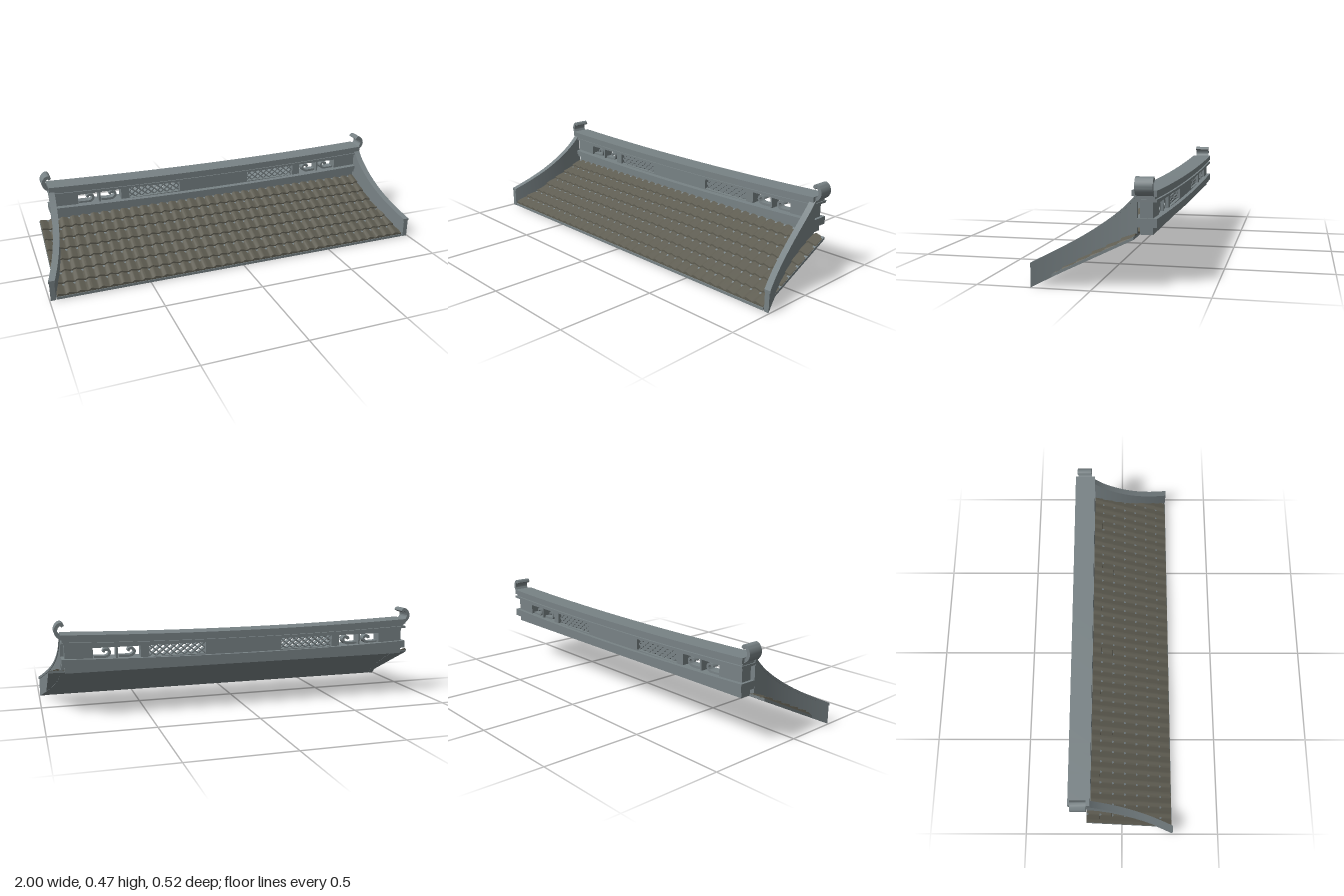
import * as THREE from 'three';
import { toCreasedNormals } from 'three/addons/utils/BufferGeometryUtils.js';

const V = (x, y, z) => new THREE.Vector3(x, y, z);
const Z0 = 0.26, Z1 = -0.175;                            // eave and rear edge of the slope
const slope = z => (Z0 - z) / (Z0 - Z1) * 0.213;          // underside height of the roof

// Closed solid through a row of equal-sized rings
function loft(rings, flip = false) {
  const n = rings[0].length, pos = [], idx = [];
  rings.forEach(r => r.forEach(p => pos.push(p.x, p.y, p.z)));
  for (let i = 0; i < rings.length - 1; i++) for (let j = 0; j < n; j++) {
    const a = i * n + j, b = i * n + (j + 1) % n, c = b + n, d = a + n;
    idx.push(a, d, c, a, c, b);
  }
  const e = (rings.length - 1) * n;
  for (let j = 1; j < n - 1; j++) idx.push(0, j, j + 1, e, e + j + 1, e + j);
  if (flip) idx.reverse();
  const g = new THREE.BufferGeometry();
  g.setAttribute('position', new THREE.Float32BufferAttribute(pos, 3));
  g.setIndex(idx);
  return toCreasedNormals(g, 0.5);
}

// Wavy, overlapping rows of tiles as one stepped sheet
function tileSheet(halfW, rows, cols) {
  const seg = 8, nx = cols * seg, pos = [], idx = [];
  const levels = [[Z0 - 0.002, 0, 0]];
  const step = (Z0 - Z1 - 0.002) / rows;
  for (let r = 0; r < rows; r++) {
    const z = Z0 - 0.002 - r * step;
    levels.push([z, 0.008, 1], [z - step, 0, 1]);
  }
  levels.push([Z1, -0.001, 0]);
  for (const [z, lift, wave] of levels) for (let i = 0; i <= nx; i++) {
    const a = i / seg * Math.PI * 2, edge = i === 0 || i === nx;
    const w = 0.5 + 0.42 * Math.sin(a) + 0.12 * Math.sin(2 * a);
    pos.push((i / nx * 2 - 1) * halfW, slope(z) + 0.012 + (edge ? 0 : lift + wave * w * 0.009), z);
  }
  for (let r = 0; r < levels.length - 1; r++) for (let i = 0; i < nx; i++) {
    const a = r * (nx + 1) + i, d = a + nx + 1;
    idx.push(a, a + 1, d + 1, a, d + 1, d);
  }
  const g = new THREE.BufferGeometry();
  g.setAttribute('position', new THREE.Float32BufferAttribute(pos, 3));
  g.setIndex(idx);
  return toCreasedNormals(g, 0.7);
}

// Ribbon of even width along a flat path, extruded in z
function ribbon(points, half, z, depth) {
  const curve = new THREE.SplineCurve(points.map(p => new THREE.Vector2(...p)));
  const a = [], b = [];
  for (let i = 0; i <= 20; i++) {
    const p = curve.getPoint(i / 20), t = curve.getTangent(i / 20);
    a.push(new THREE.Vector2(p.x - t.y * half, p.y + t.x * half));
    b.unshift(new THREE.Vector2(p.x + t.y * half, p.y - t.x * half));
  }
  const g = new THREE.ExtrudeGeometry(new THREE.Shape([...a, ...b]), { depth, bevelEnabled: false });
  g.translate(0, 0, z);
  return toCreasedNormals(g, 0.6);
}

export function createModel() {
  const model = new THREE.Group();
  const stone = new THREE.MeshStandardMaterial({ color: 0x788285 });
  const tile = new THREE.MeshStandardMaterial({ color: 0x5f5d52, side: THREE.DoubleSide });
  stone.name = 'grey stone';
  tile.name = 'dark tile';
  const add = (name, geo, mat = stone) => {
    const m = new THREE.Mesh(geo, mat);
    m.name = name;
    model.add(m);
    return m;
  };

  // Sloping base and tiles
  const HW = 0.965;
  add('roofSlab', loft([Z0, Z1].map(z => {
    const y = slope(z) + 0.001;
    return [V(-HW, y, z), V(HW, y, z), V(HW, y + 0.013, z), V(-HW, y + 0.013, z)];
  })));
  add('roofTiles', tileSheet(HW, 7, 36), tile);

  // Curved side walls with a coping
  const top = new THREE.SplineCurve([[0.26, 0.105], [0.155, 0.158], [0.065, 0.207], [-0.024, 0.264],
    [-0.095, 0.317], [-0.14, 0.358], [-0.175, 0.397]].map(p => new THREE.Vector2(...p))).getPoints(28);
  for (const s of [1, -1]) {
    const strip = (half, lowOf, highOf) => loft(top.map(({ x: z, y }) => {
      const t = (z - Z1) / (Z0 - Z1), cx = 0.893 + 0.09 * t * t, lo = lowOf(z, y), hi = highOf(y);
      return [V(s * (cx - half), lo, z), V(s * (cx + half), lo, z),
        V(s * (cx + half), hi, z), V(s * (cx - half), hi, z)];
    }), s < 0);
    add('sideWall', strip(0.0125, z => slope(z), y => y - 0.012));
    add('sideWallCoping', strip(0.016, (z, y) => y - 0.013, y => y));
  }

  // Ridge wall pierced by windows
  const wall = new THREE.Shape();
  const rect = (p, x0, y0, x1, y1) =>
    p.moveTo(x0, y0).lineTo(x1, y0).lineTo(x1, y1).lineTo(x0, y1).closePath();
  rect(wall, -0.89, 0.222, 0.89, 0.374);
  const YB = 0.282, YT = 0.338;
  const windows = [[0.2, 0.484], [0.527, 0.638], [0.647, 0.757]];
  for (const s of [1, -1]) for (const [a, b] of windows) {
    const hole = new THREE.Path();
    rect(hole, Math.min(s * a, s * b), YB, Math.max(s * a, s * b), YT);
    wall.holes.push(hole);
  }
  const wallGeo = new THREE.ExtrudeGeometry(wall, { depth: 0.055, bevelEnabled: false });
  wallGeo.translate(0, 0, -0.24);
  add('ridgeWall', wallGeo);

  // Ridge bands, sagging gently towards the middle: [bottom, top, front, back, half length]
  const bands = {
    ridgeCap: [0.385, 0.41, -0.153, -0.26, 0.905],
    upperNeck: [0.373, 0.385, -0.163, -0.25, 0.9],
    upperMoulding: [0.362, 0.373, -0.157, -0.26, 0.905],
    lowerMoulding: [0.27, 0.293, -0.155, -0.26, 0.905],
    lowerMouldingStep: [0.255, 0.27, -0.163, -0.26, 0.905],
  };
  for (const [name, [y0, y1, zf, zb, half]] of Object.entries(bands)) {
    const g = new THREE.BoxGeometry(half * 2, y1 - y0, zf - zb, 24, 1, 1);
    g.translate(0, (y0 + y1) / 2, (zf + zb) / 2);
    const p = g.attributes.position;
    for (let i = 0; i < p.count; i++) p.setY(i, p.getY(i) - 0.017 * (1 - (p.getX(i) / half) ** 2));
    g.computeVertexNormals();
    add(name, g);
  }

  for (const s of [1, -1]) {
    // Diagonal lattice in the long windows
    const [xa, xb] = windows[0], W = xb - xa, H = YT - YB, cell = W / 8;
    for (let k = -1; k < 8; k++) for (const dir of [1, -1]) {
      const u0 = Math.max(0, k * cell), u1 = Math.min(W, (k + 2) * cell);
      const rise = u => (u - k * cell) / (2 * cell) * H - H / 2;
      const dx = u1 - u0, dy = (rise(u1) - rise(u0)) * dir;
      const bar = add('latticeBar', new THREE.BoxGeometry(Math.hypot(dx, dy), 0.006, 0.03));
      bar.position.set(s * (xa + (u0 + u1) / 2), (YB + YT) / 2 + dir * (rise(u0) + rise(u1)) / 2, -0.2125);
      bar.rotation.z = s * Math.atan2(dy, dx);
    }
    // Scroll carvings in the square windows
    for (const [a, b] of windows.slice(1)) {
      const cx = (a + b) / 2;
      const pts = [[0.05, -0.018], [0.02, -0.02], [-0.012, -0.018], [-0.027, -0.002], [-0.02, 0.014],
        [-0.002, 0.014], [0.004, 0.003]];
      add('windowScroll', ribbon(pts.map(([x, y]) => [s * (cx + x), 0.31 + y]), 0.006, -0.23, 0.035));
    }
    // Curled finials at the ridge ends
    const curl = [[0.893, 0.448], [0.9, 0.459], [0.914, 0.455], [0.925, 0.438], [0.926, 0.42],
      [0.915, 0.402], [0.897, 0.392]];
    add('ridgeFinial', ribbon(curl.map(([x, y]) => [s * x, y]), 0.008, -0.247, 0.077));
  }
  return model;
}
